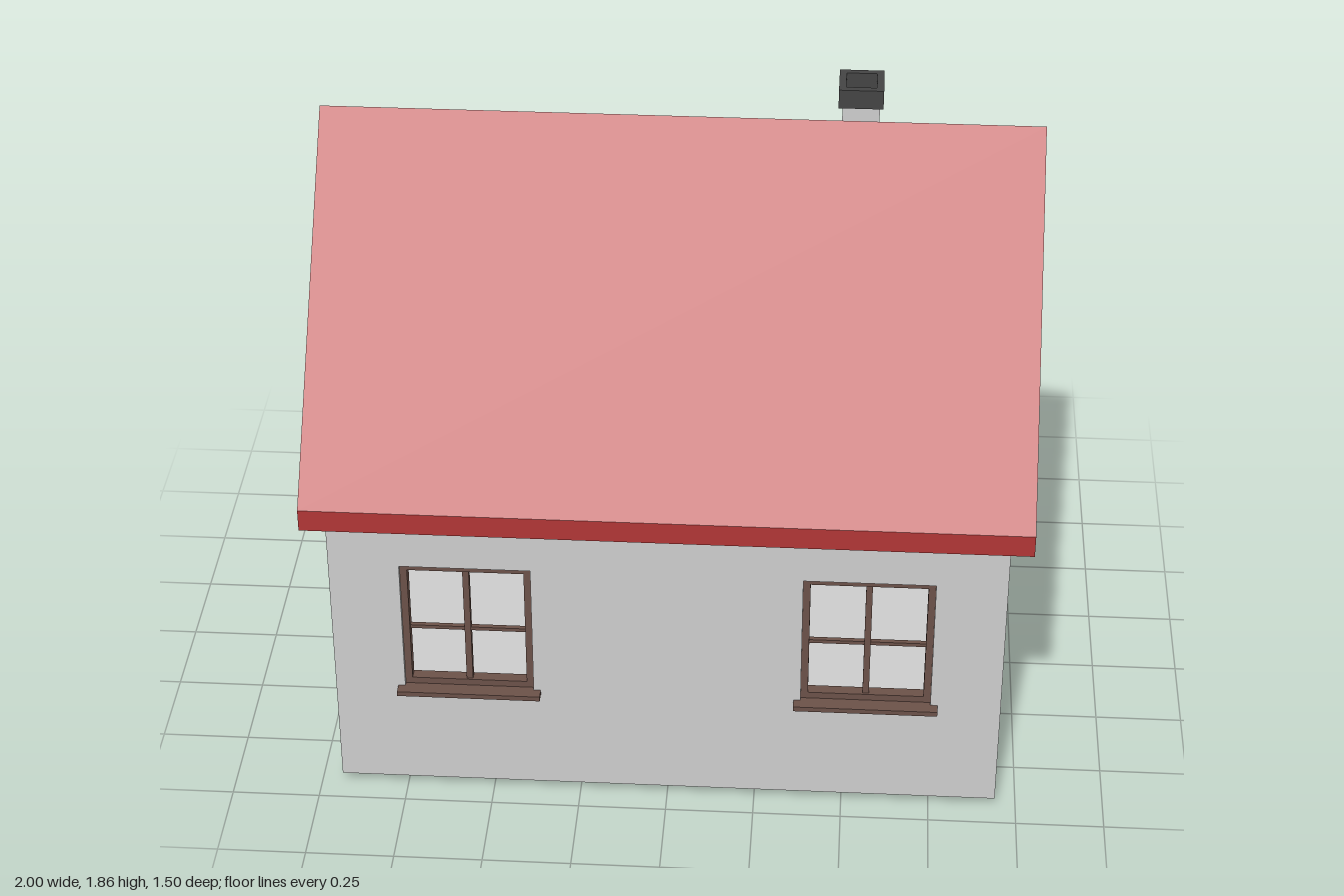
import * as THREE from 'three';

const mat = (color) => new THREE.MeshStandardMaterial({ color, flatShading: true, side: THREE.DoubleSide });
const GREY = mat(0xcccccc);
const RED = mat(0xb03636);
const WOOD = mat(0x6b5148);
const DARK = mat(0x444444);

// House extents
const X = 0.94, FRONT = 0.68, BACK = -0.64, BASE = 0.03, EAVE = 1.015, WALL = 0.05;
const RIDGE_Z = 0.02, RIDGE_TOP = 1.855, RIDGE_UNDER = 1.79;
// Window opening
const WIN_W = 0.365, WIN_LOW = 0.345, WIN_TOP = 0.775, WIN_X = 0.56, SIDE_WIN_Z = 0.015;
// Door opening
const DOOR_L = -0.21, DOOR_R = 0.13, DOOR_TOP = 0.77;

function add(parent, name, geometry, material) {
  const mesh = new THREE.Mesh(geometry, material);
  mesh.name = name;
  parent.add(mesh);
  return mesh;
}

// Box given by its limits on each axis
function box(parent, name, material, [x0, x1], [y0, y1], [z0, z1]) {
  const g = new THREE.BoxGeometry(x1 - x0, y1 - y0, z1 - z0);
  g.translate((x0 + x1) / 2, (y0 + y1) / 2, (z0 + z1) / 2);
  return add(parent, name, g, material);
}

const polygon = (points) => new THREE.Shape(points.map(([a, b]) => new THREE.Vector2(a, b)));

function rectHole(shape, a0, a1, b0, b1) {
  shape.holes.push(new THREE.Path([[a0, b0], [a0, b1], [a1, b1], [a1, b0]].map(([a, b]) => new THREE.Vector2(a, b))));
}

const windowHole = (shape, c) => rectHole(shape, c - WIN_W / 2, c + WIN_W / 2, WIN_LOW, WIN_TOP);

const extrudeZ = (shape, z0, z1) =>
  new THREE.ExtrudeGeometry(shape, { depth: z1 - z0, bevelEnabled: false }).translate(0, 0, z0);

// Extrudes a (z, y) profile along x
const extrudeX = (shape, x0, x1) =>
  new THREE.ExtrudeGeometry(shape, { depth: x1 - x0, bevelEnabled: false }).rotateY(-Math.PI / 2).translate(x1, 0, 0);

// Window with its outer wall face on z = 0, looking along +z
function makeWindow(name) {
  const g = new THREE.Group();
  g.name = name;
  const h = WIN_W / 2, low = WIN_LOW + 0.015, t = 0.02, z = [-0.045, -0.012];
  const frame = polygon([[-h, low], [h, low], [h, WIN_TOP], [-h, WIN_TOP]]);
  rectHole(frame, -h + t, h - t, low + t, WIN_TOP - t);
  add(g, 'windowFrame', extrudeZ(frame, ...z), WOOD);
  box(g, 'mullion', WOOD, [-0.009, 0.009], [low + t, WIN_TOP - t], [-0.04, -0.018]);
  box(g, 'glazingBar', WOOD, [-h + t, h - t], [0.547, 0.558], [-0.036, -0.022]);
  box(g, 'windowSill', WOOD, [-h, h], [WIN_LOW, low], [-WALL, 0]);
  box(g, 'sillNose', WOOD, [-h - 0.02, h + 0.02], [WIN_LOW, low], [0, 0.032]);
  return g;
}

function makeWalls() {
  const g = new THREE.Group();
  g.name = 'walls';
  const xi = X - WALL;

  const front = polygon([[-xi, BASE], [xi, BASE], [xi, EAVE], [-xi, EAVE]]);
  const back = polygon([
    [-xi, BASE], [DOOR_L, BASE], [DOOR_L, DOOR_TOP], [DOOR_R, DOOR_TOP], [DOOR_R, BASE],
    [xi, BASE], [xi, EAVE], [-xi, EAVE],
  ]);
  for (const s of [-1, 1]) {
    windowHole(front, s * WIN_X);
    windowHole(back, s * WIN_X);
  }
  add(g, 'frontWall', extrudeZ(front, FRONT - WALL, FRONT), GREY);
  add(g, 'backWall', extrudeZ(back, BACK, BACK + WALL), GREY);

  const gable = () => polygon([[BACK, BASE], [FRONT, BASE], [FRONT, EAVE], [RIDGE_Z, RIDGE_UNDER], [BACK, EAVE]]);
  const rightGable = gable();
  windowHole(rightGable, SIDE_WIN_Z);
  add(g, 'leftGable', extrudeX(gable(), xi, X), GREY);
  add(g, 'rightGable', extrudeX(rightGable, -X, -xi), GREY);

  box(g, 'floor', GREY, [-xi, xi], [BASE, BASE + 0.02], [BACK + WALL, FRONT - WALL]);
  return g;
}

// Door in the back wall, with frame, panels, handle and step
function makeDoor() {
  const g = new THREE.Group();
  g.name = 'door';
  const t = 0.02;
  const frame = polygon([[DOOR_L, 0], [DOOR_R, 0], [DOOR_R, DOOR_TOP], [DOOR_L, DOOR_TOP]]);
  rectHole(frame, DOOR_L + t, DOOR_R - t, 0.04, DOOR_TOP - t);
  add(g, 'doorFrame', extrudeZ(frame, BACK + 0.008, BACK + 0.042), WOOD);

  const l = DOOR_L + t, r = DOOR_R - t, inset = 0.045;
  const leaf = polygon([[l, 0.04], [r, 0.04], [r, DOOR_TOP - t], [l, DOOR_TOP - t]]);
  for (const [y0, y1] of [[0.1, 0.36], [0.41, 0.69]]) {
    rectHole(leaf, l + inset, r - inset, y0, y1);
    box(g, 'doorPanel', WOOD, [l + inset, r - inset], [y0, y1], [BACK + 0.022, BACK + 0.032]);
  }
  add(g, 'doorLeaf', extrudeZ(leaf, BACK + 0.018, BACK + 0.036), WOOD);

  const knob = add(g, 'doorHandle', new THREE.SphereGeometry(0.009, 12, 8), GREY);
  knob.position.set(r - 0.02, 0.385, BACK + 0.01);
  box(g, 'doorStep', GREY, [-0.29, 0.22], [BASE, 0.052], [-0.75, BACK]);
  return g;
}

function makeRoof() {
  const profile = polygon([
    [0.75, 0.935], [0.75, 1.0], [RIDGE_Z, RIDGE_TOP], [-0.715, 1.0], [-0.715, 0.935], [RIDGE_Z, RIDGE_UNDER],
  ]);
  const roof = new THREE.Mesh(extrudeX(profile, -1, 1), RED);
  roof.name = 'roof';
  return roof;
}

// Chimney shaft cut to the roof slope, with a hollow cap
function makeChimney() {
  const g = new THREE.Group();
  g.name = 'chimney';
  const shaft = polygon([[-0.3, 1.45], [-0.195, 1.57], [-0.195, 1.795], [-0.3, 1.795]]);
  add(g, 'chimneyShaft', extrudeX(shaft, 0.44, 0.545), GREY);

  const cap = polygon([[-0.063, -0.063], [0.063, -0.063], [0.063, 0.063], [-0.063, 0.063]]);
  rectHole(cap, -0.043, 0.043, -0.043, 0.043);
  const capMesh = add(g, 'chimneyCap', extrudeZ(cap, 0, 0.057).rotateX(-Math.PI / 2), DARK);
  capMesh.position.set(0.492, 1.784, -0.249);
  return g;
}

export function createModel() {
  const house = new THREE.Group();
  house.name = 'house';
  house.add(makeWalls(), makeDoor(), makeRoof(), makeChimney());

  const placements = [
    ['frontLeftWindow', WIN_X, FRONT, 0],
    ['frontRightWindow', -WIN_X, FRONT, 0],
    ['backLeftWindow', WIN_X, BACK, Math.PI],
    ['backRightWindow', -WIN_X, BACK, Math.PI],
    ['rightSideWindow', -X, SIDE_WIN_Z, -Math.PI / 2],
  ];
  for (const [name, x, z, turn] of placements) {
    const w = makeWindow(name);
    w.position.set(x, 0, z);
    w.rotation.y = turn;
    house.add(w);
  }
  return house;
}
